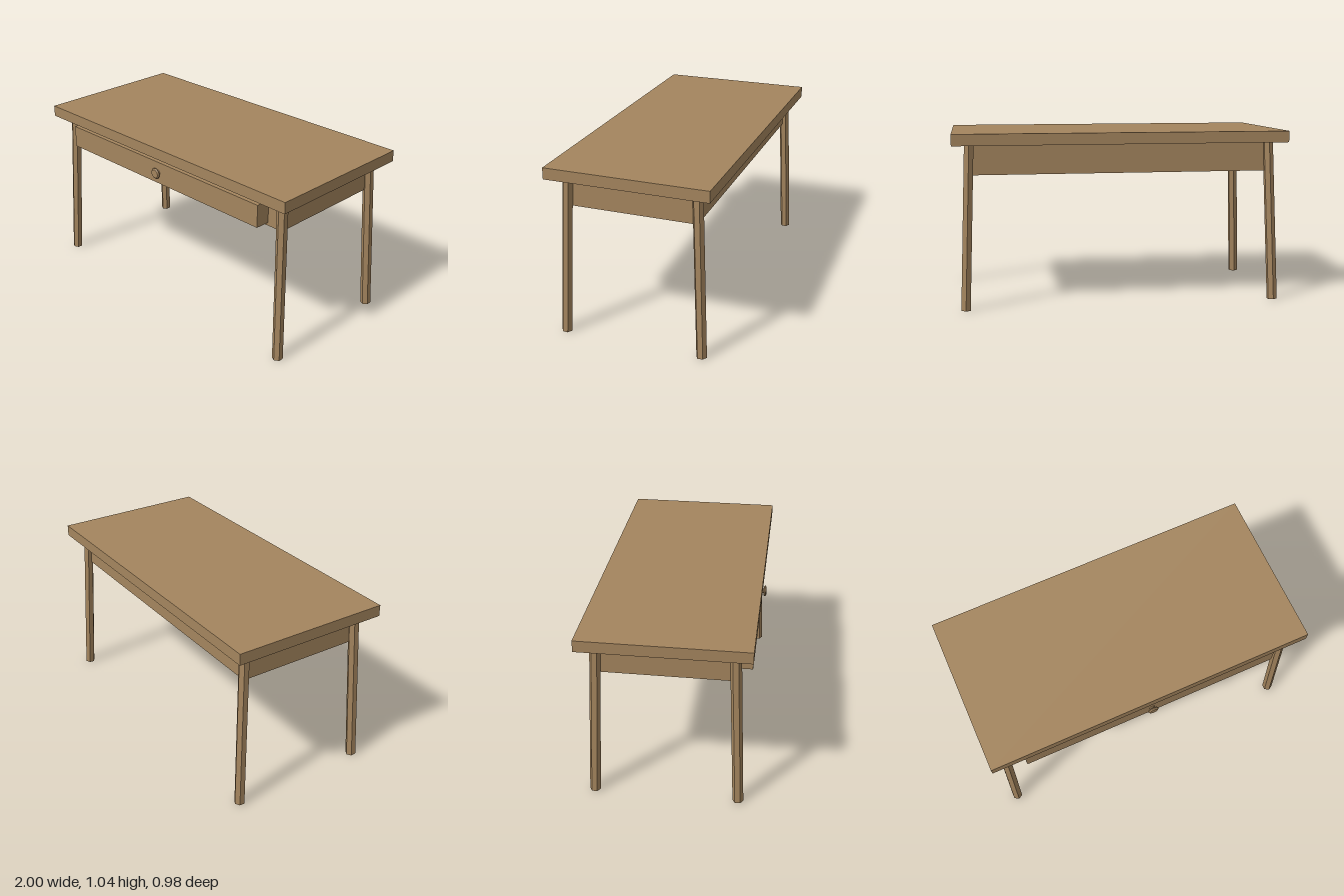
import * as THREE from 'three';

export function createModel() {
  const group = new THREE.Group();
  const wood = new THREE.MeshStandardMaterial({ color: 0xa4855e, flatShading: true });
  wood.name = 'wood';

  const add = (name, geometry) => {
    const mesh = new THREE.Mesh(geometry, wood);
    mesh.name = name;
    group.add(mesh);
    return mesh;
  };
  // Box given by its lower and upper limits
  const box = (name, [x0, y0, z0], [x1, y1, z1]) =>
    add(name, new THREE.BoxGeometry(x1 - x0, y1 - y0, z1 - z0))
      .position.set((x0 + x1) / 2, (y0 + y1) / 2, (z0 + z1) / 2);

  const midZ = -0.007;
  box('tabletop', [-1, 0.975, -0.487], [1, 1.043, 0.473]);
  box('apron', [-0.9, 0.797, midZ - 0.38], [0.9, 0.975, midZ + 0.38]);
  box('drawer', [-0.8, 0.816, 0.36], [0.8, 0.952, 0.462]);

  // Splayed hexagonal legs on the apron corners
  const up = new THREE.Vector3(0, 1, 0);
  for (const sx of [-1, 1]) {
    for (const sz of [-1, 1]) {
      const bottom = new THREE.Vector3(sx * 0.938, 0.002, midZ + sz * 0.42);
      const top = new THREE.Vector3(sx * 0.9, 0.977, midZ + sz * 0.38);
      const axis = top.clone().sub(bottom);
      const leg = add((sz > 0 ? 'front' : 'back') + (sx > 0 ? 'Left' : 'Right') + 'Leg',
        new THREE.CylinderGeometry(0.0315, 0.0315, axis.length(), 6));
      leg.position.addVectors(bottom, top).multiplyScalar(0.5);
      leg.quaternion.setFromUnitVectors(up, axis.normalize());
    }
  }

  // Turned knob, from the drawer face outwards
  const profile = [[0.018, 0], [0.013, 0.005], [0.014, 0.009], [0.028, 0.012],
    [0.033, 0.016], [0.033, 0.02], [0.026, 0.027], [0, 0.027]]
    .map(([r, h]) => new THREE.Vector2(r, h));
  const knob = add('drawerKnob', new THREE.LatheGeometry(profile, 24));
  knob.rotation.x = Math.PI / 2;
  knob.position.set(0, 0.884, 0.462);

  return group;
}
